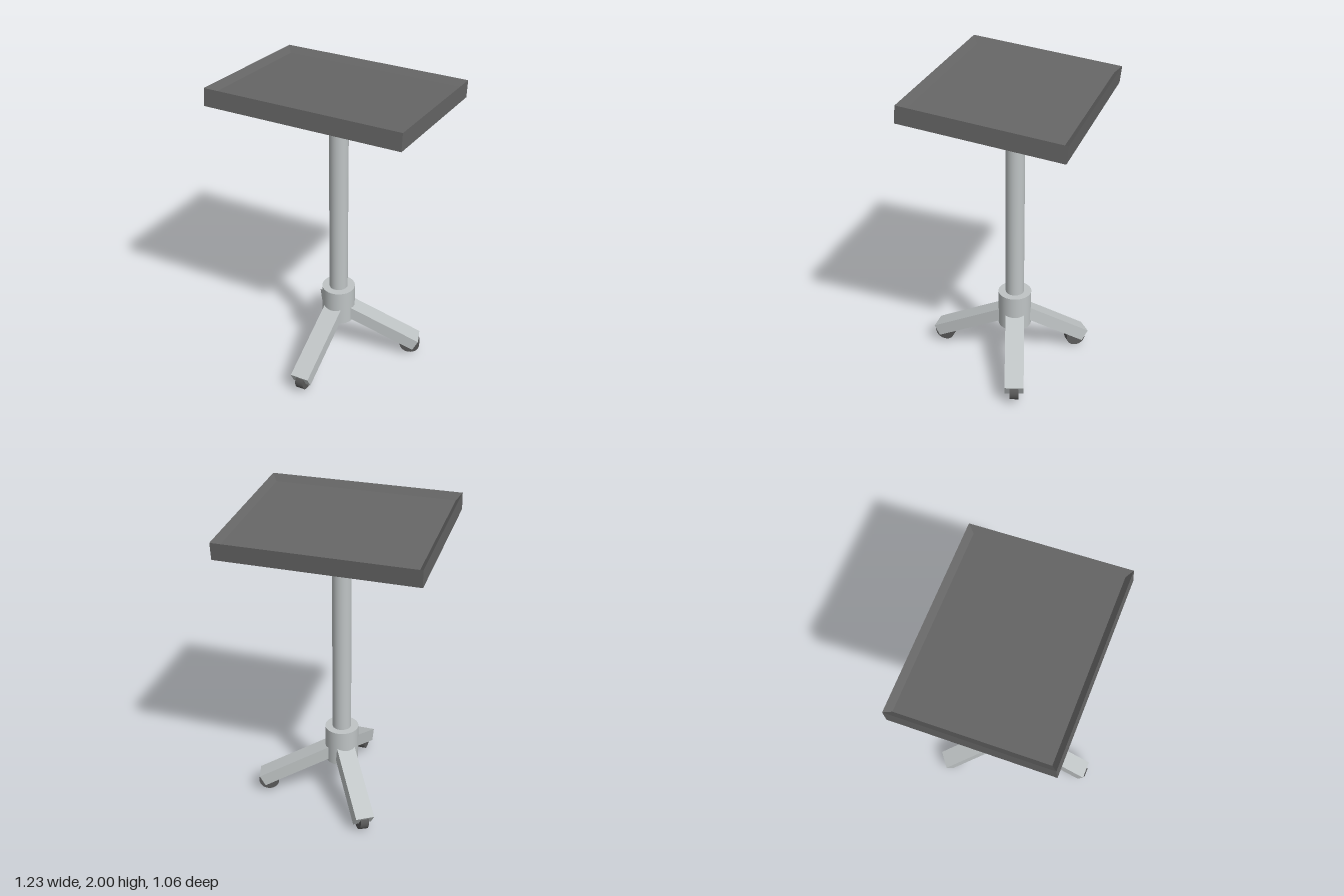
import * as THREE from 'three';

const metal = new THREE.MeshStandardMaterial({ color: 0xbfc4c5 });
const dark = new THREE.MeshStandardMaterial({ color: 0x666666 });
const rubber = new THREE.MeshStandardMaterial({ color: 0x5a5a5a });

function part(name, geometry, material, parent, x = 0, y = 0, z = 0) {
  const mesh = new THREE.Mesh(geometry, material);
  mesh.name = name;
  mesh.position.set(x, y, z);
  parent.add(mesh);
  return mesh;
}

// Solid from stacked rectangular rings [halfWidth, y, halfDepth], capped at both ends
function rectLoft(rings) {
  const loops = rings.map(([w, y, d]) =>
    [[-w, y, -d], [-w, y, d], [w, y, d], [w, y, -d]]);
  const pos = [];
  const quad = (a, b, c, d) => pos.push(...a, ...b, ...c, ...a, ...c, ...d);
  for (let r = 0; r < loops.length - 1; r++) {
    for (let i = 0; i < 4; i++) {
      const j = (i + 1) % 4;
      quad(loops[r][i], loops[r][j], loops[r + 1][j], loops[r + 1][i]);
    }
  }
  quad(...[...loops[0]].reverse());
  quad(...loops[loops.length - 1]);
  const g = new THREE.BufferGeometry();
  g.setAttribute('position', new THREE.Float32BufferAttribute(pos, 3));
  g.computeVertexNormals();
  return g;
}

// Sloping leg along local +z whose top outer edge sits at (reach, endY), with its caster
function addLeg(parent, { heading, reach, endY, pitch, roll, wheelR, wheelY }) {
  const leg = new THREE.Group();
  leg.name = 'legAssembly';
  leg.rotation.y = heading;
  parent.add(leg);

  const thick = 0.08;
  const length = (reach - 0.03) / Math.cos(pitch);
  const bar = new THREE.BoxGeometry(0.121, thick, length);
  bar.translate(0, -thick / 2, -length / 2);
  const beam = part('leg', bar, metal, leg, 0, endY, reach);
  beam.rotation.set(pitch, 0, roll, 'YXZ');

  const wheel = new THREE.CylinderGeometry(0.066, 0.066, 0.055, 32);
  wheel.rotateZ(Math.PI / 2);
  part('casterWheel', wheel, rubber, leg, 0, wheelY, wheelR).rotation.z = roll;
}

export function createModel() {
  const model = new THREE.Group();
  model.name = 'trayStand';
  const stand = new THREE.Group();
  stand.name = 'stand';
  stand.position.set(-0.003, 0, -0.035);
  model.add(stand);

  // Column and hub
  part('pole', new THREE.CylinderGeometry(0.06, 0.06, 1.375, 32), metal, stand, 0, 1.1375, 0);
  part('hub', new THREE.CylinderGeometry(0.108, 0.108, 0.243, 32), metal, stand, 0, 0.3885, 0);

  // Three legs, the third one lower and slightly rolled
  const deg = Math.PI / 180;
  [
    { heading: 0, reach: 0.559, endY: 0.14, pitch: 27 * deg, roll: 0, wheelR: 0.498, wheelY: 0.088 },
    { heading: 108 * deg, reach: 0.547, endY: 0.14, pitch: 27 * deg, roll: 0, wheelR: 0.488, wheelY: 0.088 },
    { heading: 215 * deg, reach: 0.5, endY: 0.12, pitch: 33 * deg, roll: -0.08, wheelR: 0.43, wheelY: 0.068 },
  ].forEach((leg) => addLeg(stand, leg));

  // Tilted tray with a shallow recess and sloping rim
  const tray = rectLoft([
    [0.613, -0.054, 0.493],
    [0.613, 0.054, 0.493],
    [0.58, 0.016, 0.456],
  ]);
  part('tray', tray, dark, model, 0, 1.8975, -0.035).rotation.x = -0.097;

  return model;
}
